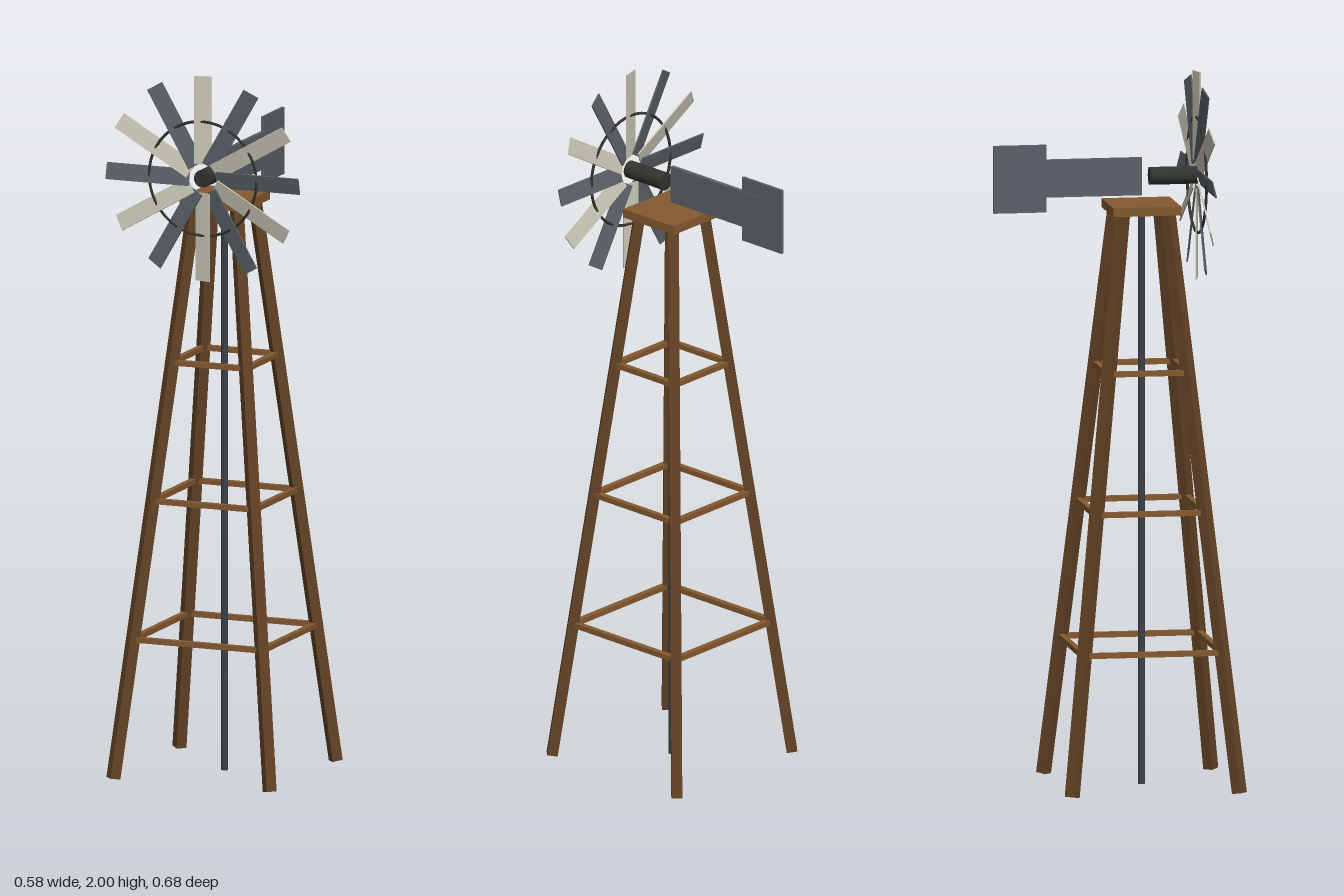
import * as THREE from 'three';

const mat = (color) => new THREE.MeshStandardMaterial({ color });
const wood = mat(0x85592f), darkWood = mat(0x634225), steel = mat(0x5a6167);
const iron = mat(0x3c4147), black = mat(0x34322f), pale = mat(0xcac6b8);

const TOWER_Z = 0.079; // tower axis
const HUB_Y = 1.709, WHEEL_Z = 0.235;
const LEG_TOP = 1.612, FOOT = 0.236, HEAD = 0.064; // leg offsets from the axis

function add(parent, name, geometry, material, x = 0, y = 0, z = 0) {
  const mesh = new THREE.Mesh(geometry, material);
  mesh.name = name;
  mesh.position.set(x, y, z);
  parent.add(mesh);
  return mesh;
}

function buildTower() {
  const tower = new THREE.Group();
  tower.name = 'tower';
  tower.position.z = TOWER_Z;

  // Four square legs leaning in along the diagonals
  const lean = Math.atan2((FOOT - HEAD) * Math.SQRT2, LEG_TOP);
  const legGeo = new THREE.BoxGeometry(0.03, LEG_TOP / Math.cos(lean), 0.03);
  const mid = (FOOT + HEAD) / 2;
  for (let i = 0; i < 4; i++) {
    const yaw = Math.PI / 4 + (i * Math.PI) / 2;
    const r = mid * Math.SQRT2;
    const leg = add(tower, 'leg', legGeo, darkWood, Math.sin(yaw) * r, LEG_TOP / 2 + 0.002, Math.cos(yaw) * r);
    leg.rotation.set(-lean, yaw, 0, 'YXZ');
  }

  // Three square frames of rails between the legs
  for (const y of [0.392, 0.781, 1.17]) {
    const d = FOOT + ((HEAD - FOOT) * y) / LEG_TOP + 0.001;
    const railGeo = new THREE.BoxGeometry(d * 2, 0.015, 0.016);
    for (let i = 0; i < 4; i++) {
      const a = (i * Math.PI) / 2;
      add(tower, 'rail', railGeo, wood, Math.sin(a) * d, y, Math.cos(a) * d).rotation.y = a;
    }
  }

  add(tower, 'platform', new THREE.BoxGeometry(0.192, 0.025, 0.192), wood, 0, 1.6225, 0);
  add(tower, 'pumpRod', new THREE.CylinderGeometry(0.01, 0.01, 1.62, 12), iron, 0, 0.81, 0);
  return tower;
}

function buildWheel() {
  const wheel = new THREE.Group();
  wheel.name = 'wheel';
  wheel.position.set(0, HUB_Y, WHEEL_Z);

  // Twelve pitched blades in alternating colours
  const bladeGeo = new THREE.BoxGeometry(0.048, 0.25, 0.004);
  for (let i = 0; i < 12; i++) {
    const spoke = new THREE.Group();
    spoke.name = 'spoke';
    spoke.rotation.z = (-i * Math.PI) / 6;
    add(spoke, 'blade', bladeGeo, i % 2 ? steel : pale, 0, 0.166, 0).rotation.y = 0.25;
    wheel.add(spoke);
  }

  add(wheel, 'wheelRing', new THREE.TorusGeometry(0.162, 0.004, 8, 48), black);
  const hub = add(wheel, 'hub', new THREE.CylinderGeometry(0.025, 0.025, 0.138, 20), black, 0, 0, -0.065);
  hub.rotation.x = Math.PI / 2;
  return wheel;
}

function buildTail() {
  const tail = new THREE.Group();
  tail.name = 'tail';
  tail.position.y = HUB_Y;
  add(tail, 'tailBoom', new THREE.BoxGeometry(0.012, 0.106, 0.344), steel, 0, 0, -0.093);
  add(tail, 'tailFin', new THREE.BoxGeometry(0.008, 0.19, 0.149), steel, 0, 0, -0.2645);
  return tail;
}

export function createModel() {
  const model = new THREE.Group();
  model.name = 'windmill';
  model.add(buildTower(), buildWheel(), buildTail());
  return model;
}
